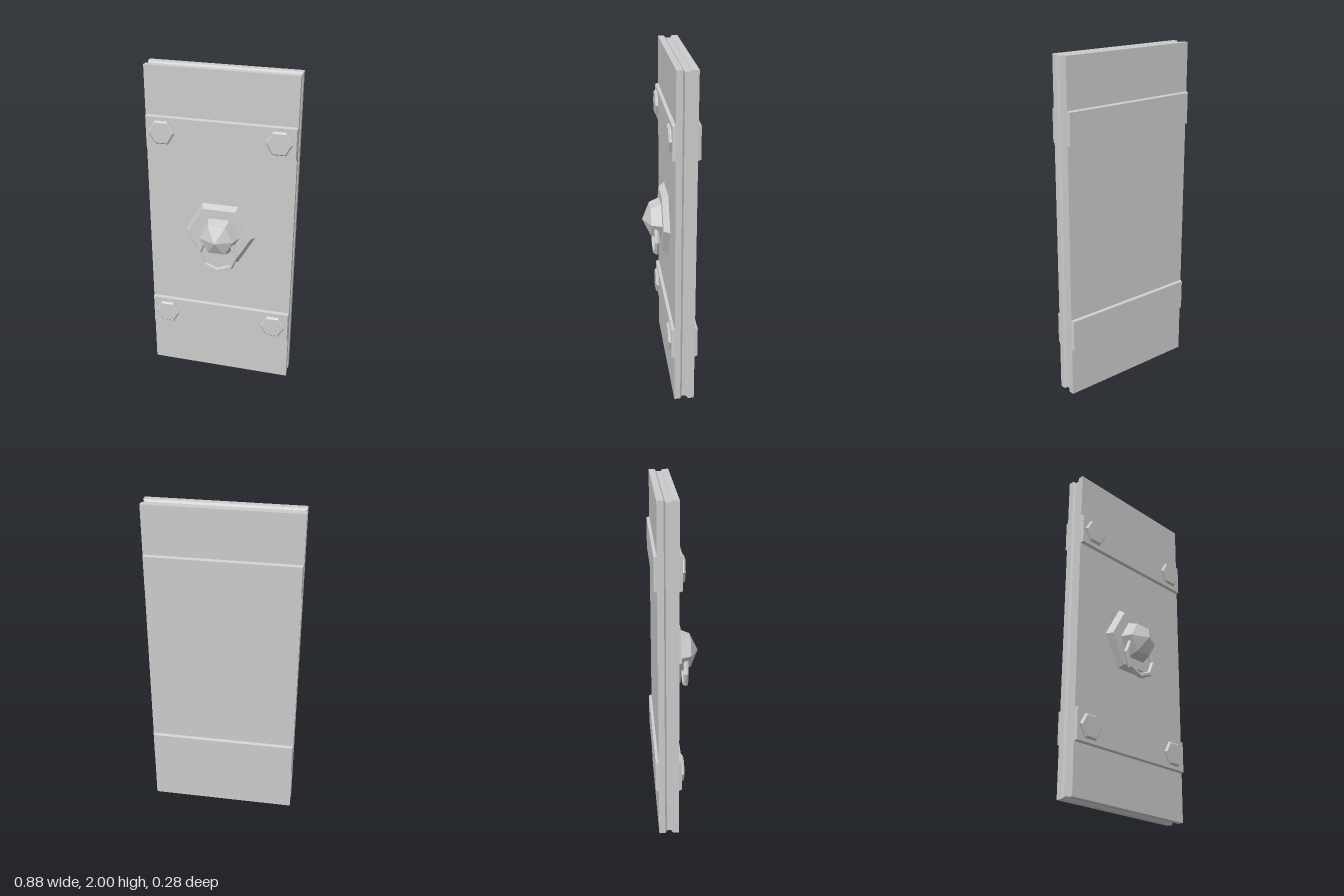
import * as THREE from 'three';

const material = new THREE.MeshStandardMaterial({ color: 0xcccccc, flatShading: true });

// Outline of a rectangle or a hexagon (points on the x axis), counter-clockwise
const rect = (hw, hh) => [[-hw, -hh], [hw, -hh], [hw, hh], [-hw, hh]];
const hex = (r) => Array.from({ length: 6 }, (_, i) => {
  const a = (i * Math.PI) / 3;
  return [r * Math.cos(a), r * Math.sin(a)];
});

// Closed solid through [outline, z] sections listed from back to front
function loft(sections) {
  const pos = [];
  const n = sections[0][0].length;
  const at = (s, i) => [...sections[s][0][i % n], sections[s][1]];
  const tri = (a, b, c) => pos.push(...a, ...b, ...c);
  const last = sections.length - 1;
  for (let s = 0; s < last; s++) {
    for (let i = 0; i < n; i++) {
      tri(at(s, i), at(s, i + 1), at(s + 1, i + 1));
      tri(at(s, i), at(s + 1, i + 1), at(s + 1, i));
    }
  }
  for (let i = 1; i < n - 1; i++) {
    tri(at(last, 0), at(last, i), at(last, i + 1));
    tri(at(0, 0), at(0, i + 1), at(0, i));
  }
  const geo = new THREE.BufferGeometry();
  geo.setAttribute('position', new THREE.Float32BufferAttribute(pos, 3));
  geo.computeVertexNormals();
  return geo;
}

export function createModel() {
  const group = new THREE.Group();
  const add = (name, geo, x, y, z = 0) => {
    const mesh = new THREE.Mesh(geo, material);
    mesh.name = name;
    mesh.position.set(x, y, z);
    group.add(mesh);
    return mesh;
  };
  const FRONT = -0.008, BACK = -0.126;

  // Door slab with a shallow groove running around its edge
  const slab = (inset) => rect(0.44 - inset, 1 - inset);
  add('doorPanel', loft([
    [slab(0), BACK], [slab(0), -0.09], [slab(0.011), -0.08],
    [slab(0.011), -0.054], [slab(0), -0.043], [slab(0), FRONT],
  ]), 0, 1);

  // Bevelled bands on both faces, with a hex bolt at each front end
  const outer = rect(0.44, 0.098), inner = rect(0.436, 0.092);
  const frontBand = loft([[outer, FRONT - 0.005], [outer, FRONT], [inner, 0.01]]);
  const backBand = loft([[inner, -0.143], [outer, BACK], [outer, BACK + 0.005]]);
  const bolt = loft([[hex(0.079), 0.005], [hex(0.079), 0.017], [hex(0.069), 0.026]]);
  for (const [side, bandY, boltY] of [['lower', 0.392, 0.39], ['upper', 1.615, 1.618]]) {
    add(side + 'FrontBand', frontBand, 0, bandY);
    add(side + 'BackBand', backBand, 0, bandY);
    for (const x of [-0.342, 0.342]) {
      add(side + (x > 0 ? 'Left' : 'Right') + 'Bolt', bolt, x, boltY);
    }
  }

  // Hexagonal handle plate, tapered knob with a pointed end
  add('handlePlate', loft([[hex(0.218), FRONT - 0.005], [hex(0.218), FRONT], [hex(0.193), 0.028]]), 0, 1);
  add('knob', loft([[hex(0.128), 0.02], [hex(0.127), 0.028], [hex(0.102), 0.09], [hex(0.0005), 0.137]]), 0, 1);

  // Faceted pull ring hanging through the knob
  add('pullRing', new THREE.TorusGeometry(0.114, 0.016, 6, 8), 0, 0.894, 0.059);

  return group;
}
